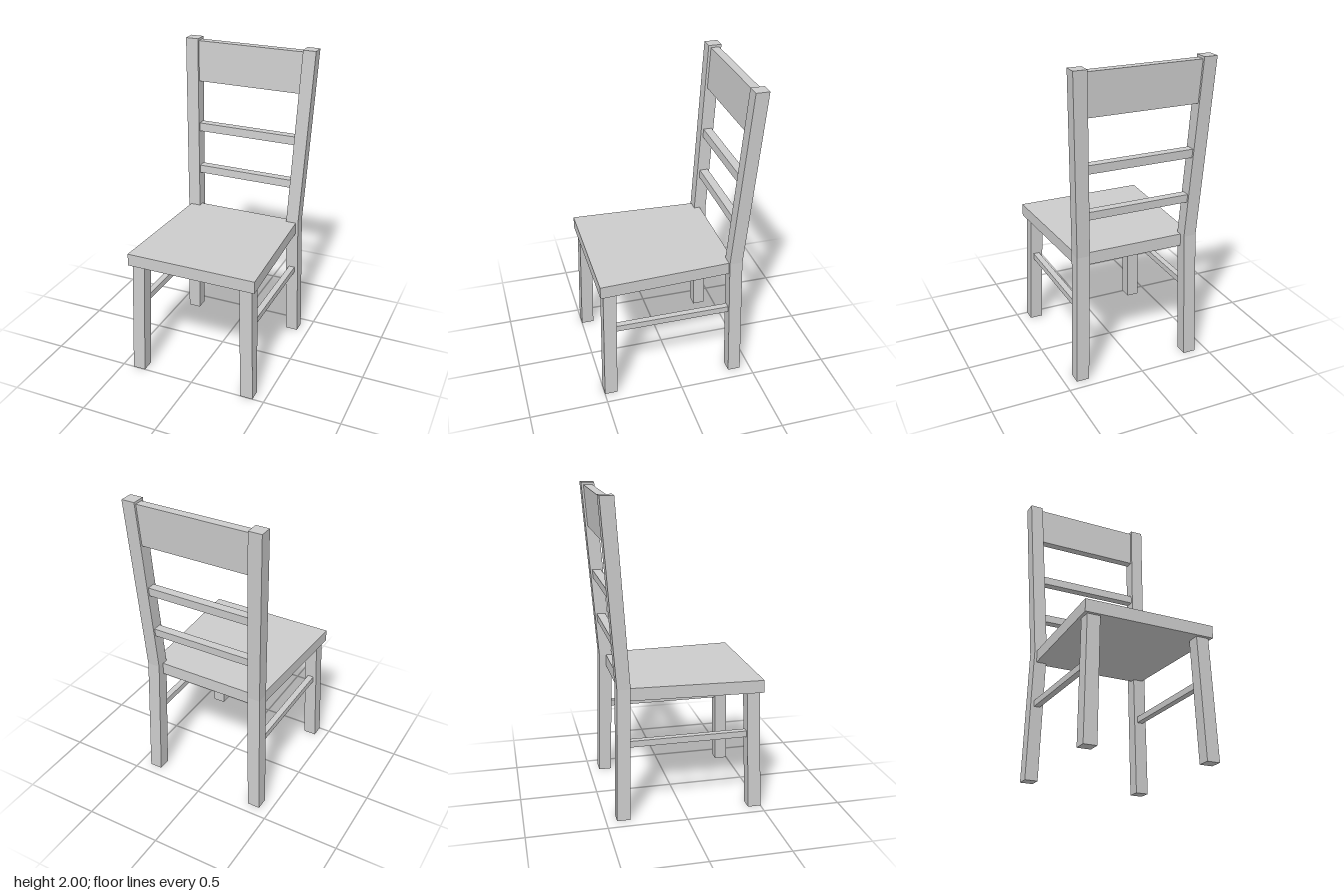
import * as THREE from 'three';

const material = new THREE.MeshStandardMaterial({ color: 0xcccccc, flatShading: true });

// Square-cut bar through stacked sections [y, xMin, xMax, zMin, zMax], bottom to top.
function bar(name, sections, side = 1) {
  const n = sections.length - 1;
  const geo = new THREE.BoxGeometry(1, 1, 1, 1, n, 1).toNonIndexed();
  const p = geo.attributes.position;
  for (let i = 0; i < p.count; i++) {
    const [y, x0, x1, z0, z1] = sections[Math.round((p.getY(i) + 0.5) * n)];
    const [a, b] = side > 0 ? [x0, x1] : [-x1, -x0];
    p.setXYZ(i, p.getX(i) < 0 ? a : b, y, p.getZ(i) < 0 ? z0 : z1);
  }
  geo.computeVertexNormals();
  const mesh = new THREE.Mesh(geo, material);
  mesh.name = name;
  return mesh;
}

// Front face of the reclined back posts at height y, above the seat.
const postFront = (y) => -0.332 - (y - 0.85) * 0.0725;

// Crosspiece that leans with the back posts and ends inside them.
function backRail(name, y0, y1) {
  const section = (y) => {
    const half = 0.335 + (y - 0.85) * 0.035;
    const z = postFront(y) - 0.016;
    return [y, -half, half, z - 0.055, z];
  };
  return bar(name, [section(y0), section(y1)]);
}

export function createModel() {
  const chair = new THREE.Group();
  chair.name = 'chair';

  // Seat, tapering towards the back
  const seat = bar('seat', [[0.77, -0.425, 0.425, -0.37, 0.5], [0.85, -0.425, 0.425, -0.37, 0.5]]);
  const p = seat.geometry.attributes.position;
  for (let i = 0; i < p.count; i++) if (p.getZ(i) < 0) p.setX(i, Math.sign(p.getX(i)) * 0.386);
  seat.geometry.computeVertexNormals();
  chair.add(seat);

  for (const side of [1, -1]) {
    const label = side > 0 ? 'left' : 'right';
    // Splayed front leg
    chair.add(bar(label + 'FrontLeg', [
      [0, 0.342, 0.425, 0.417, 0.5],
      [0.775, 0.32, 0.403, 0.397, 0.48],
    ], side));
    // Back leg and back post in one piece, bent at the seat
    chair.add(bar(label + 'BackPost', [
      [0, 0.342, 0.425, -0.433, -0.35],
      [0.85, 0.32, 0.403, -0.415, -0.332],
      [2, 0.36, 0.445, -0.5, -0.4154],
    ], side));
    // Side stretcher between the legs
    chair.add(bar(label + 'Stretcher', [
      [0.47, 0.35, 0.39, -0.36, 0.425],
      [0.51, 0.35, 0.39, -0.36, 0.425],
    ], side));
  }

  // Backrest
  chair.add(backRail('topRail', 1.72, 1.985));
  chair.add(backRail('upperSlat', 1.38, 1.435));
  chair.add(backRail('lowerSlat', 1.085, 1.137));

  return chair;
}
